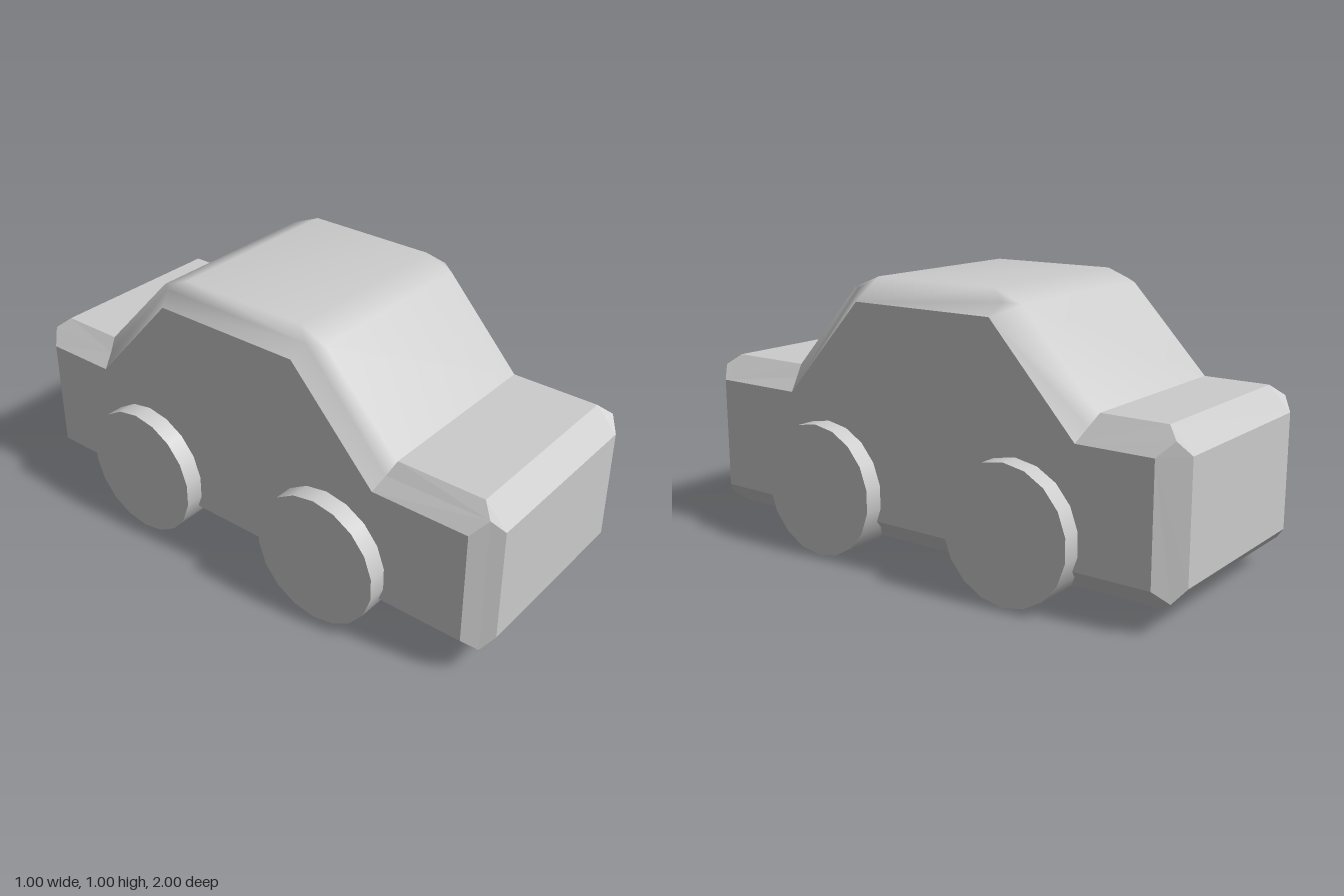
import * as THREE from 'three';
import { mergeVertices } from 'three/addons/utils/BufferGeometryUtils.js';

const SIDE = 0.43, MID = 0.383, TOP = 0.345; // half widths across the chamfer

// Corners of the side outline as [z, y]: s on the flat side, m mid-chamfer,
// a and b where the bevelled corner meets the faces before and after it.
const corners = [
  { s: [0.92, 0.15], m: [0.963, 0.104], a: [0.92, 0.067], b: [1, 0.15] },
  { s: [0.92, 0.56], m: [0.963, 0.608], a: [1, 0.56], b: [0.92, 0.645] },
  { s: [0.565, 0.56], m: [0.583, 0.603], a: [0.6, 0.645], b: [0.6, 0.645] },
  { s: [0.24, 0.915], m: [0.265, 0.958], a: [0.32, 0.95], b: [0.21, 0.995] },
  { s: [-0.32, 0.915], m: [-0.34, 0.958], a: [-0.28, 0.995], b: [-0.39, 0.95] },
  { s: [-0.645, 0.56], m: [-0.663, 0.603], a: [-0.68, 0.645], b: [-0.68, 0.645] },
  { s: [-0.92, 0.56], m: [-0.963, 0.608], a: [-0.92, 0.645], b: [-1, 0.56] },
  { s: [-0.92, 0.15], m: [-0.963, 0.104], a: [-1, 0.15], b: [-0.92, 0.067] },
];

const at = (x, [z, y]) => [x, y, z];
const flip = ([x, y, z]) => [-x, y, z];

// Adds a convex polygon as a fan, skipping repeated corners
function face(out, pts) {
  const p = pts.filter((v, i) => v.join() !== pts[(i + 1) % pts.length].join());
  for (let i = 1; i + 1 < p.length; i++) out.push(...p[0], ...p[i], ...p[i + 1]);
}

function bothSides(out, pts) {
  face(out, pts);
  face(out, pts.map(flip).reverse());
}

// Face spanning the full width between two outline points
function band(out, p, q) {
  face(out, [at(TOP, p), at(TOP, q), at(-TOP, q), at(-TOP, p)]);
}

function makeMesh(positions, smooth, name, material) {
  let geometry = new THREE.BufferGeometry();
  geometry.setAttribute('position', new THREE.Float32BufferAttribute(positions, 3));
  if (smooth) geometry = mergeVertices(geometry, 1e-4);
  geometry.computeVertexNormals();
  const mesh = new THREE.Mesh(geometry, material);
  mesh.name = name;
  return mesh;
}

export function createModel() {
  const group = new THREE.Group();
  group.name = 'car';
  const material = new THREE.MeshStandardMaterial({ color: 0xcccccc });
  const body = [], cabin = [];

  // Chamfer strips, full-width faces and bevelled corners around the outline
  corners.forEach((c, i) => {
    const n = corners[(i + 1) % corners.length];
    const out = i >= 2 && i <= 4 ? cabin : body;
    bothSides(out, [at(SIDE, c.s), at(SIDE, n.s), at(MID, n.m), at(TOP, n.a), at(TOP, c.b), at(MID, c.m)]);
    band(out, c.b, n.a);
    if (c.a.join() === c.b.join()) return;
    const cap = i === 3 || i === 4 ? cabin : body;
    band(cap, c.a, c.b);
    bothSides(cap, [at(TOP, c.a), at(MID, c.m), at(TOP, c.b)]);
  });

  // Flat sides
  const outline = corners.map((c) => new THREE.Vector2(...c.s));
  for (const tri of THREE.ShapeUtils.triangulateShape(outline, [])) {
    const [p, q, r] = tri.map((k) => outline[k]);
    const clockwise = (q.x - p.x) * (r.y - p.y) - (q.y - p.y) * (r.x - p.x) < 0;
    // z runs leftwards seen from +x, so a clockwise (z, y) turn faces +x
    const pts = (clockwise ? [p, q, r] : [p, r, q]).map((v) => at(SIDE, [v.x, v.y]));
    bothSides(body, pts);
  }

  group.add(makeMesh(body, false, 'body', material));
  group.add(makeMesh(cabin, true, 'cabin', material));

  // Wheels
  const wheel = new THREE.CylinderGeometry(0.24, 0.24, 0.155, 18, 1, false, Math.PI / 2);
  wheel.rotateZ(Math.PI / 2);
  for (const [end, z] of [['front', 0.385], ['rear', -0.425]]) {
    for (const [side, sign] of [['Left', 1], ['Right', -1]]) {
      const mesh = new THREE.Mesh(wheel, material);
      mesh.name = `${end}${side}Wheel`;
      mesh.position.set(sign * 0.4215, 0.24, z);
      group.add(mesh);
    }
  }
  return group;
}
